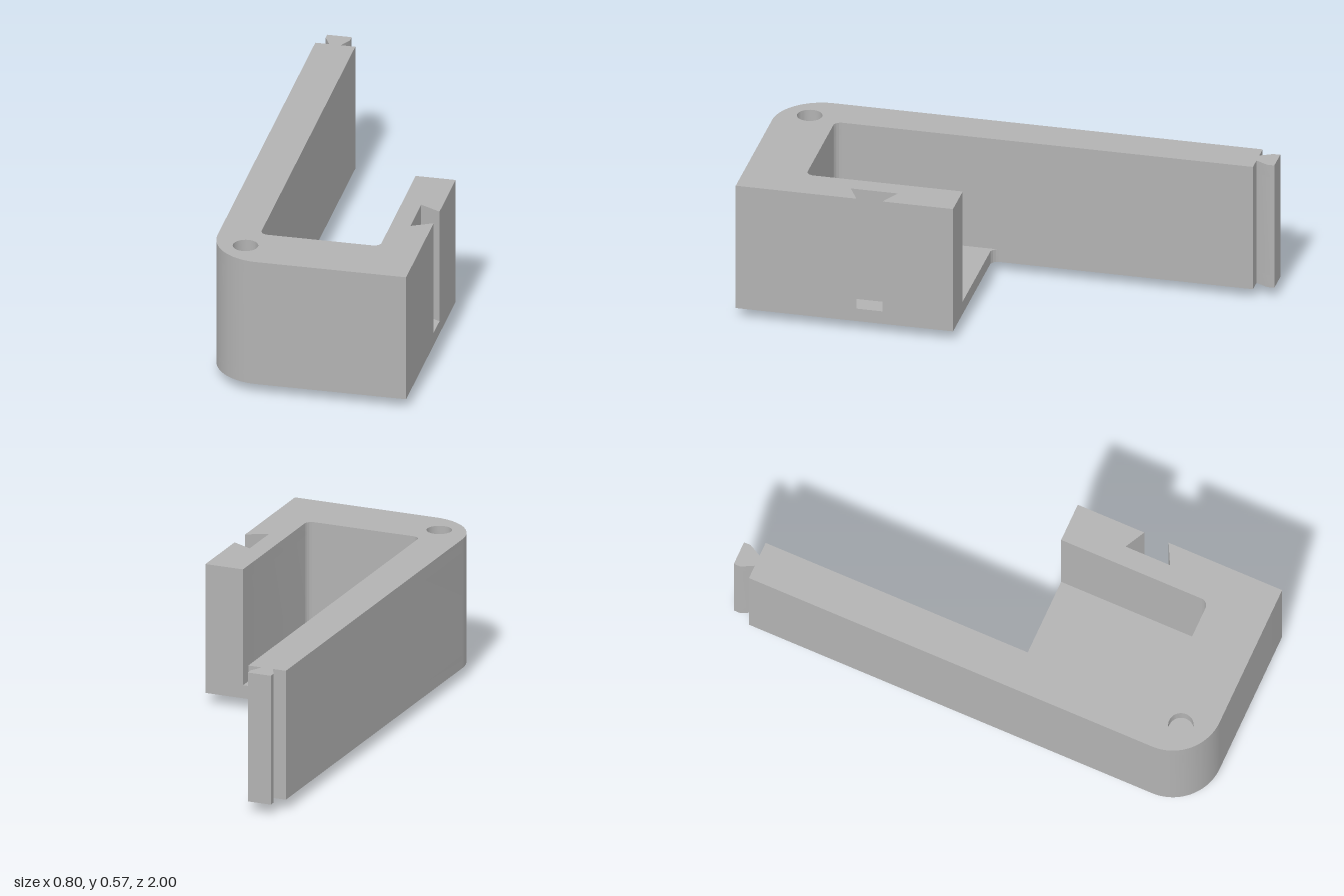
import * as THREE from 'three';
import { toCreasedNormals } from 'three/addons/utils/BufferGeometryUtils.js';

const BOTTOM = 0.043, FLOOR = 0.097, HOLE = 0.522, TOP = 0.575;
const PEG_X = -0.273, PEG_Z = 0.867;

// Plan outline (shape y is world z); the floor layer is solid, the wall layers have pocket and groove
function planShape(isFloor) {
  const s = new THREE.Shape();
  s.moveTo(0.4, 1);
  s.lineTo(-0.2, 1);
  s.absarc(-0.2, 0.8, 0.2, Math.PI / 2, Math.PI, false);
  // arm end with dovetail tongue
  [[-0.4, -0.922], [-0.344, -0.922], [-0.37, -0.972], [-0.37, -1], [-0.272, -1],
    [-0.272, -0.972], [-0.298, -0.922], [-0.24, -0.922]].forEach(([x, z]) => s.lineTo(x, z));
  if (isFloor) {
    s.lineTo(-0.24, 0.097);
    s.absarc(-0.21, 0.097, 0.03, Math.PI, Math.PI / 2, true);
    s.lineTo(0.4, 0.127);
  } else {
    // rounded pocket, open at the back
    s.lineTo(-0.24, 0.727);
    s.absarc(-0.21, 0.727, 0.03, Math.PI, Math.PI / 2, true);
    s.lineTo(0.21, 0.757);
    s.absarc(0.21, 0.727, 0.03, Math.PI / 2, 0, true);
    // end of short wall, then dovetail groove
    [[0.24, 0.127], [0.4, 0.127], [0.4, 0.411], [0.317, 0.368],
      [0.317, 0.558], [0.4, 0.515]].forEach(([x, z]) => s.lineTo(x, z));
  }
  s.closePath();
  return s;
}

export function createModel() {
  const group = new THREE.Group();
  const grey = new THREE.MeshStandardMaterial({ color: 0xb2b2b2 });
  grey.name = 'grey';

  const add = (name, geometry) => {
    const mesh = new THREE.Mesh(toCreasedNormals(geometry, 0.5), grey);
    mesh.name = name;
    group.add(mesh);
    return mesh;
  };
  const layer = (name, shape, y0, y1) => {
    const g = new THREE.ExtrudeGeometry(shape, { depth: y1 - y0, bevelEnabled: false, curveSegments: 16 });
    g.rotateX(Math.PI / 2);
    g.translate(0, y1, 0);
    return add(name, g);
  };

  layer('floor', planShape(true), BOTTOM, FLOOR);
  layer('walls', planShape(false), FLOOR, HOLE);

  // Top of the walls with the round socket
  const rim = planShape(false);
  const socket = new THREE.Path();
  socket.absarc(PEG_X, PEG_Z, 0.05, 0, Math.PI * 2, true);
  rim.holes.push(socket);
  layer('socketRim', rim, HOLE, TOP);

  // Chamfered locating peg underneath
  const profile = [[0, 0], [0.034, 0], [0.039, 0.005], [0.039, BOTTOM]]
    .map(([r, y]) => new THREE.Vector2(r, y));
  add('peg', new THREE.LatheGeometry(profile, 32)).position.set(PEG_X, 0, PEG_Z);

  return group;
}
